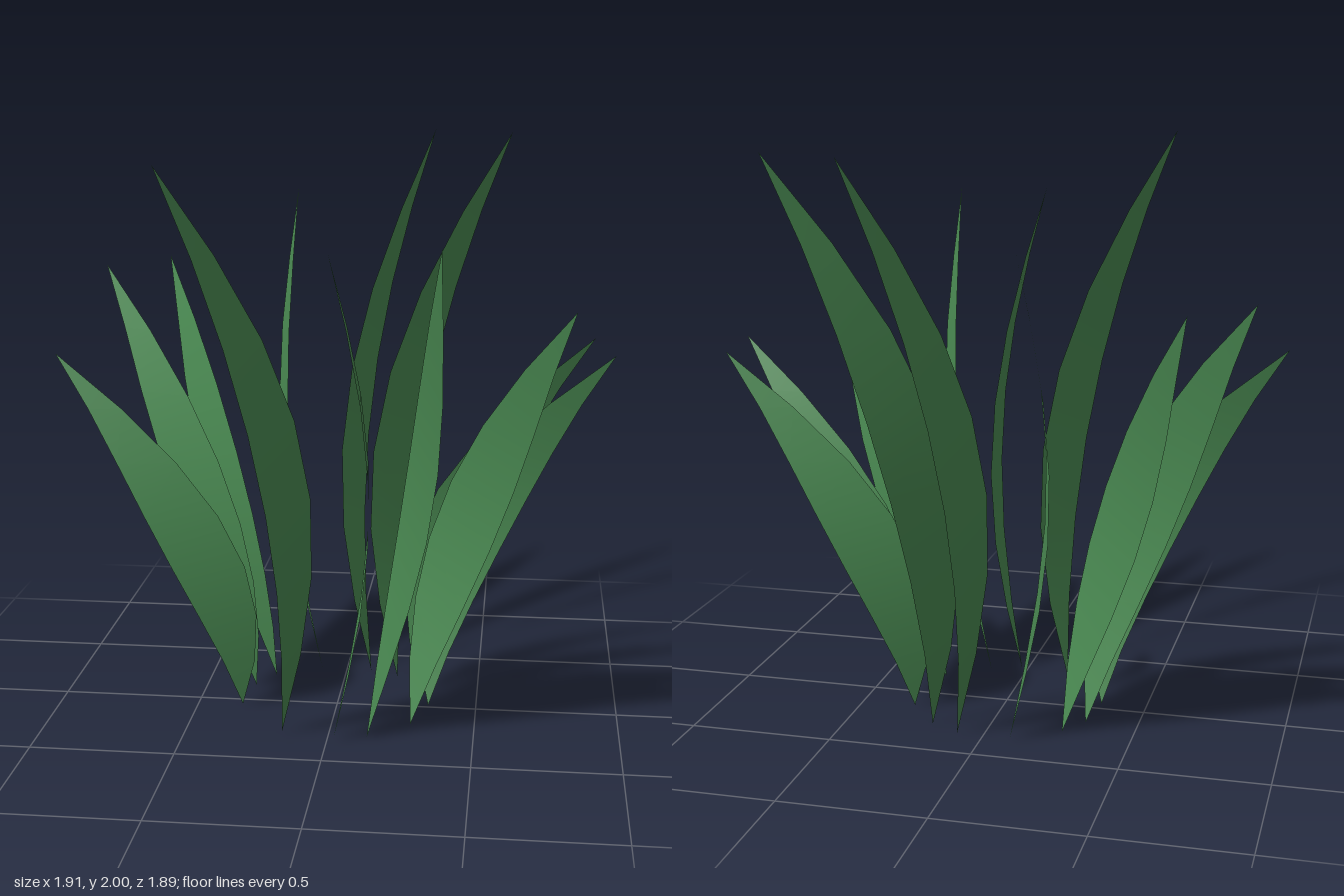
import * as THREE from 'three';

const SEGMENTS = 7;          // rows along each blade
const BASE_RADIUS = 0.336;   // ring on which the blades stand
const LEAN = 0.626;          // how far the tip leans outward
const HALF_WIDTH = 0.13;
const BOW = 0.12;            // sideways bulge of the blade

// One pointed strip: leans out along +x, bows towards -z, tapers at both ends
function bladeGeometry(height) {
  const points = [];
  const index = [];
  for (let i = 0; i <= SEGMENTS; i++) {
    const t = i / SEGMENTS;
    const swell = Math.sin(Math.PI * t);
    const centre = BASE_RADIUS + LEAN * t * t;
    const sides = i === 0 || i === SEGMENTS ? [0] : [-1, 1];
    for (const s of sides) {
      points.push(centre + s * HALF_WIDTH * swell, height * t, -BOW * swell);
    }
  }
  // Base point, paired rows, tip point
  const tip = 2 * SEGMENTS - 1;
  index.push(0, 2, 1);
  for (let a = 1; a < tip - 2; a += 2) {
    index.push(a, a + 1, a + 2, a + 1, a + 3, a + 2);
  }
  index.push(tip - 2, tip - 1, tip);

  const geometry = new THREE.BufferGeometry();
  geometry.setAttribute('position', new THREE.Float32BufferAttribute(points, 3));
  geometry.setIndex(index);
  geometry.computeVertexNormals();
  return geometry;
}

export function createModel() {
  const group = new THREE.Group();
  group.name = 'grassTuft';
  const green = new THREE.MeshStandardMaterial({ color: 0x4a8a52, side: THREE.DoubleSide });
  green.name = 'leaf green';

  // Four blade heights shared by twelve blades, spread by the golden angle
  const geometries = [1.3, 1.533, 1.767, 2].map(bladeGeometry);
  for (let i = 0; i < 12; i++) {
    const blade = new THREE.Mesh(geometries[i % 4], green);
    blade.name = `blade${i + 1}`;
    blade.position.set(-0.008, 0, -0.015);
    blade.rotation.y = THREE.MathUtils.degToRad(137.5 * i);
    group.add(blade);
  }
  return group;
}
